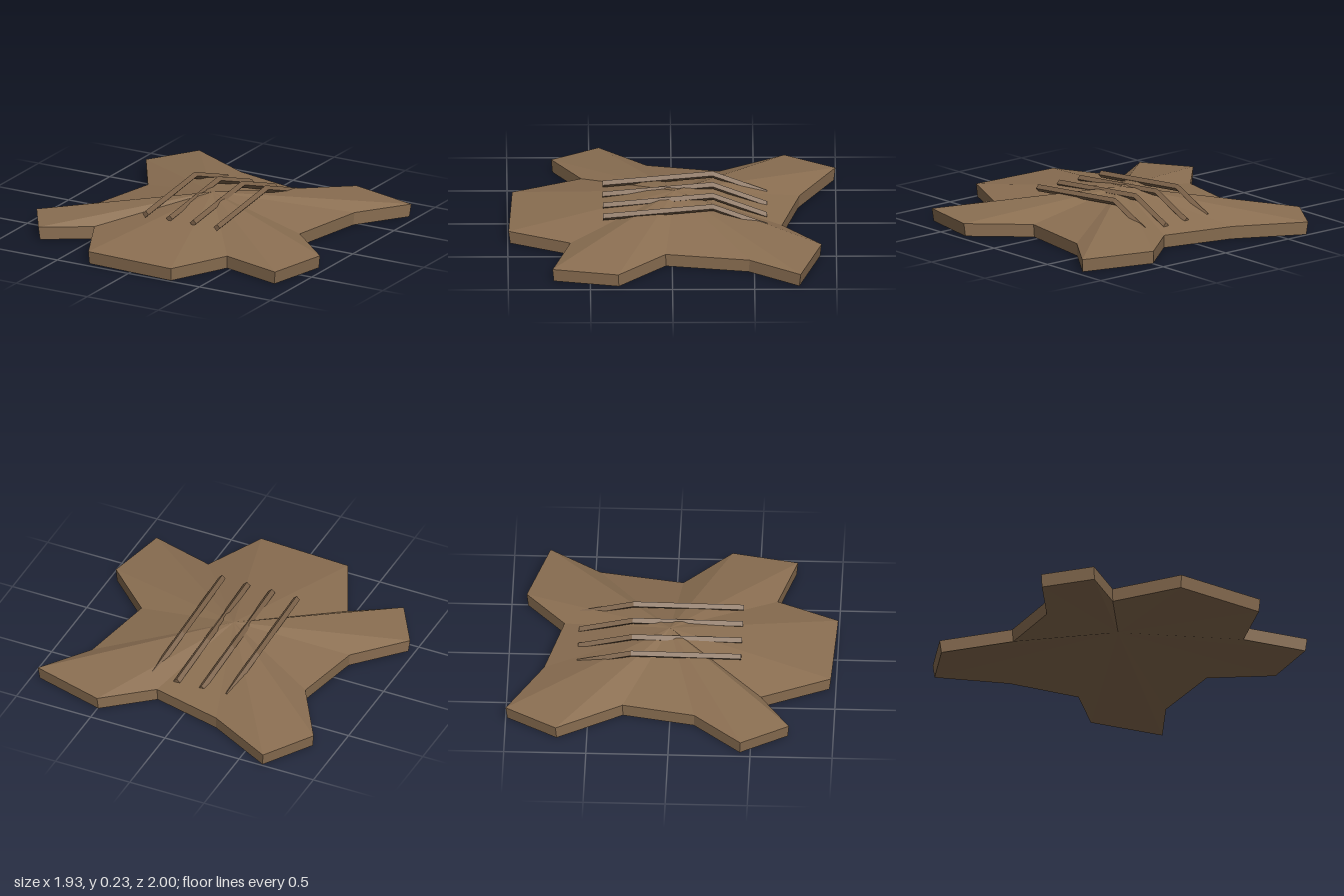
import * as THREE from 'three';

const hide = new THREE.MeshStandardMaterial({ color: 0x8b6f52 });
hide.name = 'tan hide';
hide.flatShading = true;
const strap = new THREE.MeshStandardMaterial({ color: 0x7c6249 });
strap.name = 'brown strip';
strap.flatShading = true;

// Build a flat-faced geometry from a list of triangles
function fromTriangles(tris) {
  const g = new THREE.BufferGeometry().setFromPoints(tris.flat());
  g.computeVertexNormals();
  return g;
}

const quad = (a, b, c, d) => [[a, b, c], [a, c, d]];

// Shallow peaked hide with a splayed outline and a hollow underside
function makeHide() {
  const outline = [
    [-0.66, -1.0], [-0.24, -0.78], [0.21, -0.67], [0.5, -0.91], [0.96, -0.78], [0.74, -0.47],
    [0.65, 0.04], [0.96, 0.33], [0.875, 0.73], [0.475, 0.62], [0.295, 0.995], [-0.3, 0.97],
    [-0.5, 0.55], [-0.79, 0.73], [-0.97, 0.44], [-0.7, 0.15], [-0.61, -0.29], [-0.855, -0.69],
  ];
  const top = outline.map(([x, z]) => new THREE.Vector3(x, 0.08, z));
  const bottom = outline.map(([x, z]) => new THREE.Vector3(x * 0.99, 0, z * 0.99));
  const peak = new THREE.Vector3(0, 0.22, -0.02);
  const hollow = new THREE.Vector3(0, 0.14, -0.02);
  const tris = [];
  outline.forEach((_, i) => {
    const j = (i + 1) % outline.length;
    tris.push([peak, top[j], top[i]], [hollow, bottom[i], bottom[j]]);
    tris.push(...quad(bottom[j], bottom[i], top[i], top[j]));
  });
  const mesh = new THREE.Mesh(fromTriangles(tris), hide);
  mesh.name = 'hide';
  return mesh;
}

// Bent bar with a diamond section, highest at its bend
function makeStrip(x) {
  const path = [[x, 0.17, 0.42], [x - 0.045, 0.212, -0.25], [x, 0.105, -0.58]];
  const r = 0.022;
  const rings = path.map(([px, py, pz]) =>
    [[r, 0], [0, r], [-r, 0], [0, -r]].map(([dx, dy]) => new THREE.Vector3(px + dx, py + dy, pz)));
  const tris = [];
  for (let s = 0; s < rings.length - 1; s++) {
    for (let i = 0; i < 4; i++) {
      const j = (i + 1) % 4;
      tris.push(...quad(rings[s][i], rings[s + 1][i], rings[s + 1][j], rings[s][j]));
    }
  }
  const back = rings[rings.length - 1];
  tris.push(...quad(...rings[0]), ...quad(back[3], back[2], back[1], back[0]));
  const mesh = new THREE.Mesh(fromTriangles(tris), strap);
  mesh.name = 'strip';
  return mesh;
}

export function createModel() {
  const model = new THREE.Group();
  model.name = 'hideRug';
  model.add(makeHide());

  // Four parallel strips across the back
  const strips = new THREE.Group();
  strips.name = 'strips';
  for (let i = 0; i < 4; i++) strips.add(makeStrip(-0.215 + i * 0.167));
  model.add(strips);
  return model;
}
